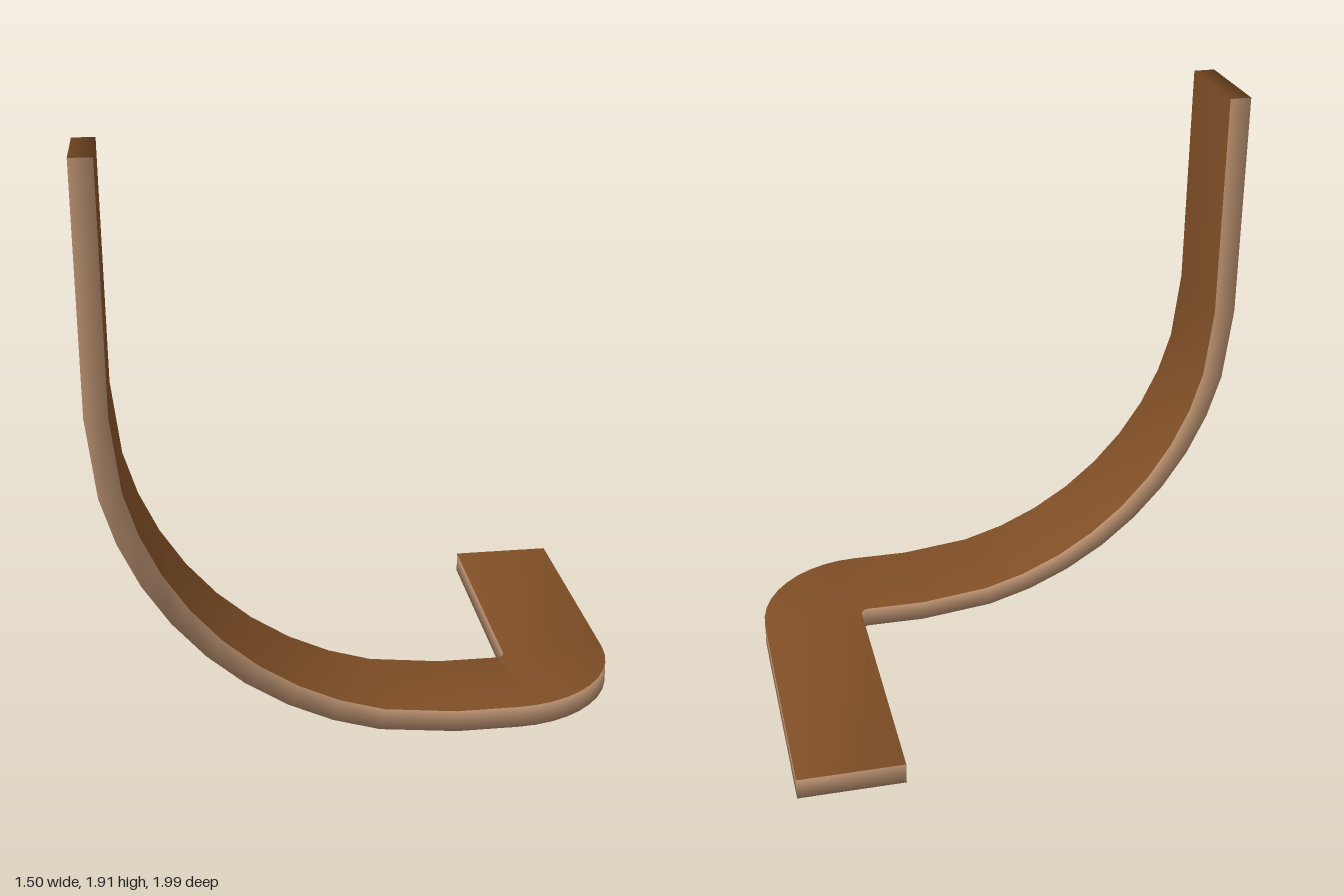
import * as THREE from 'three';

export function createModel() {
  const brown = new THREE.MeshStandardMaterial({ color: 0x7f4e26 });
  brown.name = 'brown wood';
  const tan = new THREE.MeshStandardMaterial({ color: 0xb48c6c });
  tan.name = 'tan edge';

  const WIDTH = 0.355, THICK = 0.073, BEND = 1.14, TURN = 0.03, TOP = 1.915;
  const UP = new THREE.Vector3(0, 1, 0);
  const along = new THREE.Vector3(0.841, 0, -0.541); // heading of the first leg
  const side = new THREE.Vector3(0.541, 0, 0.841);   // across the first leg
  const start = new THREE.Vector3(-0.75, 0, 0.69);
  const pivot = new THREE.Vector3(0.365, 0, -0.06);  // centre of the flat turn

  // Each ring is a rectangle: outer left, outer right, inner right, inner left
  const points = [];
  let rings = 0;
  const addRing = (left, across, normal) => {
    const right = left.clone().addScaledVector(across, WIDTH);
    points.push(left, right,
      right.clone().addScaledVector(normal, THICK),
      left.clone().addScaledVector(normal, THICK));
    rings++;
  };

  // Upright end
  addRing(start.clone().setY(TOP), side, along);

  // Bend from upright to flat
  for (let i = 0; i <= 10; i++) {
    const deg = i === 0 ? 0 : i === 10 ? 90 : 13 + (i - 1) * 8;
    const a = THREE.MathUtils.degToRad(deg);
    const left = start.clone().addScaledVector(along, BEND * (1 - Math.cos(a)));
    left.y = BEND * (1 - Math.sin(a));
    const normal = along.clone().multiplyScalar(Math.cos(a)).addScaledVector(UP, Math.sin(a));
    addRing(left, side, normal);
  }
  const flatFrom = rings - 1;

  // Flat quarter turn
  for (let i = 0; i <= 10; i++) {
    const out = side.clone().applyAxisAngle(UP, (i / 10) * Math.PI / 2);
    addRing(pivot.clone().addScaledVector(out, TURN), out, UP);
  }

  // Flat end
  addRing(new THREE.Vector3(-0.08, 0, -0.81), along, UP);

  // Faces sorted by colour
  const faces = [[], []];
  for (let i = 0; i < rings - 1; i++) {
    for (let j = 0; j < 4; j++) {
      const k = (j + 1) % 4;
      const a = i * 4 + j, b = i * 4 + k, c = a + 4, d = b + 4;
      const isBrown = j === 2 || (j === 0 && i < flatFrom);
      faces[isBrown ? 0 : 1].push(a, c, b, b, c, d);
    }
  }
  const e = (rings - 1) * 4;
  faces[0].push(0, 1, 2, 0, 2, 3);
  faces[1].push(e, e + 2, e + 1, e, e + 3, e + 2);

  const geometry = new THREE.BufferGeometry().setFromPoints(points);
  geometry.setIndex([...faces[0], ...faces[1]]);
  geometry.addGroup(0, faces[0].length, 0);
  geometry.addGroup(faces[0].length, faces[1].length, 1);
  geometry.computeVertexNormals();

  const strip = new THREE.Mesh(geometry, [brown, tan]);
  strip.name = 'bentStrip';
  const group = new THREE.Group();
  group.name = 'bentWoodStrip';
  group.add(strip);
  return group;
}
